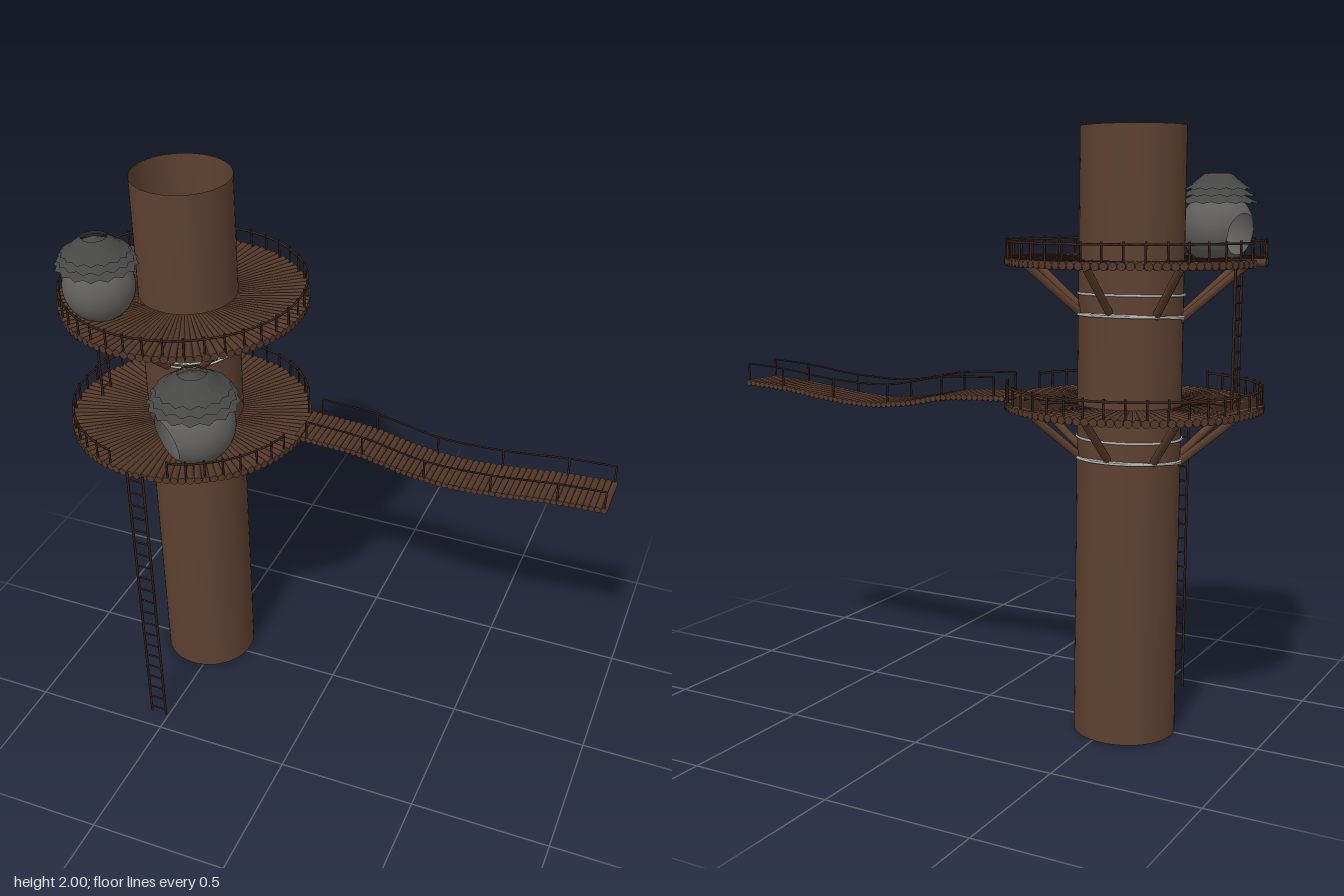
import * as THREE from 'three';

const mat = (name, color, side = THREE.FrontSide, flatShading = false) => {
  const m = new THREE.MeshStandardMaterial({ color, side, flatShading });
  m.name = name;
  return m;
};
const V = (x, y, z) => new THREE.Vector3(x, y, z);
const CX = -0.54, R = 0.425;
// angle 0 faces the front (+z), 90 degrees faces +x
const polar = (a, r, y) => V(CX + r * Math.sin(a), y, r * Math.cos(a));
const rad = THREE.MathUtils.degToRad;

export function createModel() {
  const bark = mat('bark', 0x5d4030, THREE.DoubleSide);
  const plank = mat('plank wood', 0x54382a);
  const beamWood = mat('beam wood', 0x5d3f2d);
  const railWood = mat('rail wood', 0x38241a);
  const rope = mat('rope', 0xb4b4b0);
  const wall = mat('house wall', 0x62605e, THREE.DoubleSide);
  const thatch = mat('roof shingle', 0x474846, THREE.DoubleSide, true);

  const model = new THREE.Group();
  model.name = 'treehouse';

  const group = (name, parent = model) => {
    const g = new THREE.Group();
    g.name = name;
    parent.add(g);
    return g;
  };
  const add = (parent, name, geometry, material) => {
    const m = new THREE.Mesh(geometry, material);
    m.name = name;
    parent.add(m);
    return m;
  };
  // round bar from a to b, optionally tapered
  const rod = (parent, name, a, b, ra, material, rb = ra, sides = 6) => {
    const d = b.clone().sub(a);
    const m = add(parent, name, new THREE.CylinderGeometry(rb, ra, d.length(), sides), material);
    m.position.copy(a).addScaledVector(d, 0.5);
    m.quaternion.setFromUnitVectors(V(0, 1, 0), d.normalize());
  };
  const tube = (parent, name, pts, r, material) =>
    add(parent, name, new THREE.TubeGeometry(new THREE.CatmullRomCurve3(pts), 64, r, 5), material);

  // hollow trunk
  add(model, 'trunk', new THREE.CylinderGeometry(0.17, 0.17, 2, 48, 1, true), bark)
    .position.set(CX, 1, -0.03);

  // platform: radial logs, braces, lashings and a railing along the given arcs
  function platform(name, y, arcs, notch) {
    const g = group(name);
    const n = 100;
    for (let i = 0; i < n; i++) {
      const a = (i / n) * Math.PI * 2;
      const short = notch !== null && Math.abs(Math.sin((a - notch) / 2)) < 0.055;
      const r = short ? 0.3 : R;
      rod(g, 'deckLog', polar(a, 0.02, y), polar(a, r, y), 0.003, plank, 0.0135 * r / R, 8);
    }
    for (let i = 0; i < 8; i++) {
      const a = i * Math.PI / 4;
      rod(g, 'brace', polar(a, 0.155, y - 0.19), polar(a, 0.37, y - 0.008), 0.013, beamWood, 0.013, 10);
    }
    for (const [dy, r, tilt] of [[-0.178, 0.176, 0.09], [-0.172, 0.177, 0.03], [-0.105, 0.172, 0.03]]) {
      const ring = add(g, 'lashing', new THREE.TorusGeometry(r, 0.0045, 6, 40), rope);
      ring.position.set(CX, y + dy, -0.026);
      ring.rotation.x = Math.PI / 2 + tilt;
    }
    const rails = group('railing', g);
    for (const [from, to] of arcs) {
      const a0 = rad(from), a1 = rad(to);
      const count = Math.max(2, Math.round((to - from) / 9));
      const pts = [];
      for (let i = 0; i <= count; i++) {
        const a = a0 + (a1 - a0) * i / count;
        rod(rails, 'railPost', polar(a, R - 0.008, y), polar(a, R - 0.008, y + 0.073), 0.0038, railWood);
        pts.push(polar(a, R - 0.008, y + 0.064));
      }
      tube(rails, 'handRail', pts, 0.0042, railWood);
    }
  }
  const lowY = 1.105, highY = 1.573;
  platform('lowerPlatform', lowY, [[15, 75], [110, 345]], null);
  platform('upperPlatform', highY, [[-82, 262]], -Math.PI / 2);

  // ladder centred on c, with half-width vector w
  function ladder(name, c, w, top) {
    const g = group(name);
    const h = top - c.y;
    for (const s of [-1, 1]) {
      const foot = c.clone().addScaledVector(w, s);
      rod(g, 'ladderRail', foot, foot.clone().setY(top), 0.0045, railWood);
    }
    const n = Math.round(h / 0.054);
    for (let i = 0; i < n; i++) {
      const p = c.clone().setY(c.y + (i + 0.5) * h / n);
      rod(g, 'rung', p.clone().sub(w), p.clone().add(w), 0.0035, railWood);
    }
  }
  ladder('groundLadder', V(CX, 0, 0.433), V(0.029, 0, 0), 1.115);
  ladder('upperLadder', V(-0.89, 1.11, 0), V(0, 0, 0.029), 1.58);

  // sagging log bridge with a rope rail on both sides
  const bridge = group('bridge');
  const path = new THREE.CatmullRomCurve3([
    [-0.125, 1.11], [0.1, 1.098], [0.26, 1.066], [0.42, 1.051], [0.58, 1.06], [0.78, 1.083], [0.955, 1.094],
  ].map(([x, y]) => V(x, y, 0)));
  const zBack = -0.145, zFront = 0.022;
  const logs = 52;
  for (let i = 0; i <= logs; i++) {
    const p = path.getPointAt(i / logs);
    rod(bridge, 'bridgeLog', V(p.x, p.y, zBack), V(p.x, p.y, zFront), 0.0108, plank, 0.0108, 8);
  }
  for (const z of [zBack + 0.006, zFront - 0.006]) {
    const tops = [];
    for (const t of [0.03, 0.22, 0.43, 0.645, 0.855, 1]) {
      const p = path.getPointAt(t).setZ(z);
      const top = p.clone().setY(p.y + 0.072);
      rod(bridge, 'bridgePost', p, top, 0.0038, railWood);
      tops.push(top);
    }
    tube(bridge, 'bridgeRail', tops, 0.0035, railWood);
  }

  // round house: shell with a circular doorway, tiered ragged roof
  function house(name, x, y, z, r, doorAngle) {
    const g = group(name);
    g.position.set(x, y, z);
    const shell = add(g, 'houseShell',
      new THREE.SphereGeometry(r, 36, 24, 0, Math.PI * 2, 0.6, Math.PI - 0.6), wall);
    const dir = V(Math.sin(doorAngle), -0.2, Math.cos(doorAngle)).normalize();
    shell.quaternion.setFromUnitVectors(V(0, 1, 0), dir);
    const tiers = [[1.15, 0.66], [1.08, 0.85], [0.96, 1.03], [0.72, 1.18]];
    tiers.forEach(([rim, h], k) => {
      const geo = new THREE.CylinderGeometry(rim * 0.5 * r, rim * r, 0.3 * r, 32, 1, true);
      const p = geo.attributes.position;
      // every other rim corner is pulled in and up to form shingle tips
      for (let i = 0; i < p.count; i++) {
        if (p.getY(i) < 0 && i % 2 === k % 2) {
          p.setXYZ(i, p.getX(i) * 0.93, p.getY(i) + 0.05 * r, p.getZ(i) * 0.93);
        }
      }
      add(g, 'roofTier', geo, thatch).position.y = (h + 0.13) * r;
    });
    add(g, 'roofCap', new THREE.ConeGeometry(0.42 * r, 0.2 * r, 16, 1, true), thatch).position.y = 1.38 * r;
  }
  house('lowerHouse', -0.395, 1.245, 0.253, 0.137, rad(-34));
  house('upperHouse', -0.737, 1.678, 0.213, 0.12, rad(-108));

  return model;
}
